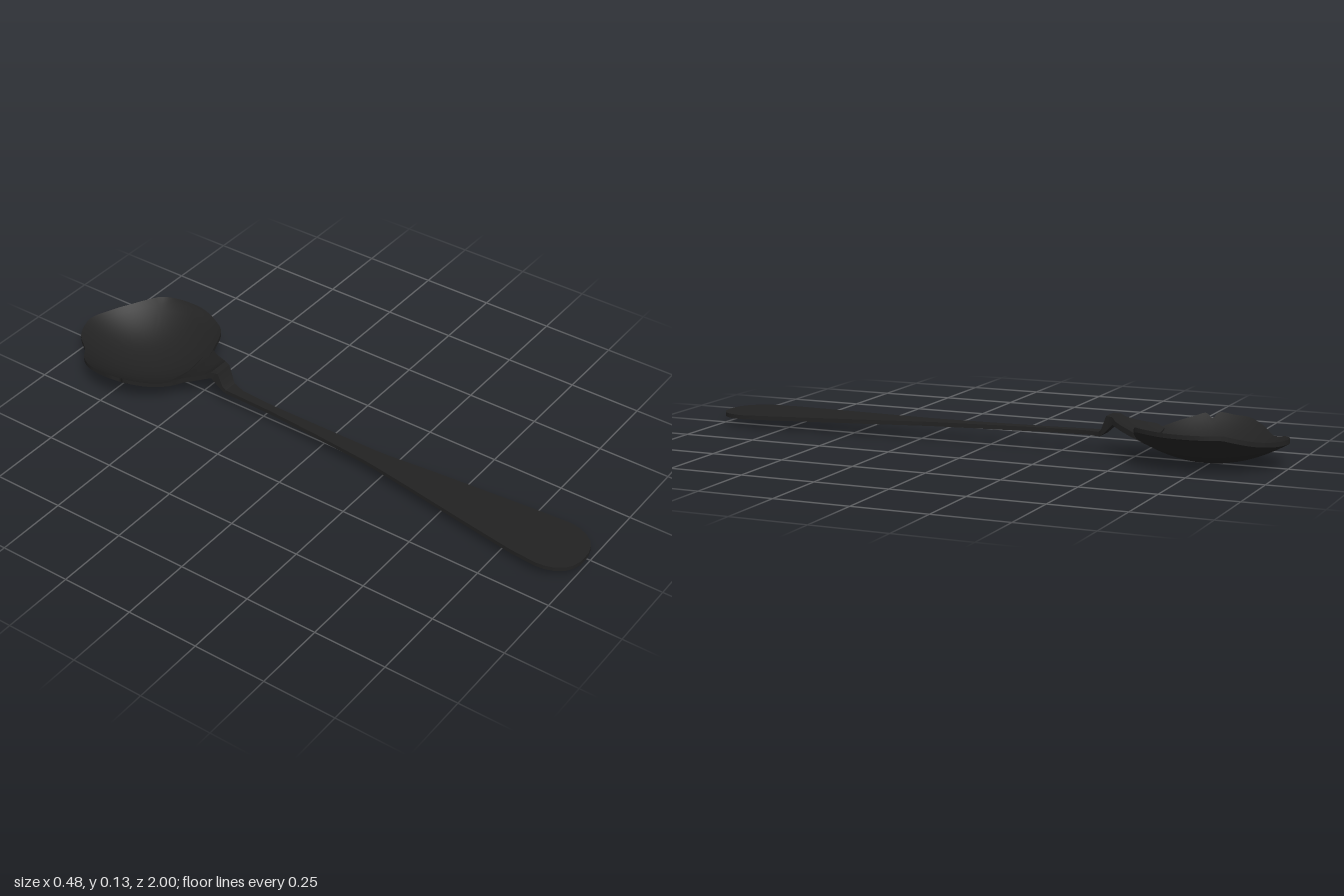
import * as THREE from 'three';
import { toCreasedNormals } from 'three/addons/utils/BufferGeometryUtils.js';

const metal = new THREE.MeshStandardMaterial({ color: 0x222222 });
metal.name = 'darkMetal';

// Skin a row of closed cross-section loops, dropping collapsed triangles
function loft(loops, crease) {
  const pos = [];
  const tri = (a, b, c) => {
    if (new THREE.Triangle(a, b, c).getArea() > 1e-9) {
      for (const p of [a, b, c]) pos.push(p.x, p.y, p.z);
    }
  };
  for (let k = 0; k + 1 < loops.length; k++) {
    const A = loops[k], B = loops[k + 1], n = A.length;
    for (let i = 0; i < n; i++) {
      const j = (i + 1) % n;
      tri(A[i], A[j], B[i]);
      tri(A[j], B[j], B[i]);
    }
  }
  const geo = new THREE.BufferGeometry();
  geo.setAttribute('position', new THREE.Float32BufferAttribute(pos, 3));
  return toCreasedNormals(geo, crease);
}

const CX = -0.015, CZ = -0.745;

// Worn rim of the bowl seen from above, as [x, z]
const rim = [
  [0, -1], [0.085, -0.97], [0.14, -0.93], [0.18, -0.89], [0.215, -0.84], [0.233, -0.79],
  [0.238, -0.71], [0.228, -0.66], [0.206, -0.611], [0.185, -0.575], [0.164, -0.553],
  [0.11, -0.542], [0.05, -0.53], [0, -0.525], [-0.06, -0.53], [-0.122, -0.553],
  [-0.175, -0.59], [-0.205, -0.625], [-0.228, -0.66], [-0.217, -0.685], [-0.238, -0.7],
  [-0.236, -0.76], [-0.228, -0.807], [-0.19, -0.865], [-0.127, -0.918], [-0.085, -0.97],
];

function bowlGeometry() {
  const curve = new THREE.CatmullRomCurve3(
    rim.map(([x, z]) => new THREE.Vector3(x, 0, z)), true, 'centripetal');
  const edge = curve.getPoints(120).slice(0, -1);
  const ring = (t, top) => edge.map((p) => {
    const dx = (p.x - CX) * t, dz = (p.z - CZ) * t;
    const y = 2 * dx * dx + 1.2 * dz * dz;
    return new THREE.Vector3(CX + dx, top ? Math.min(y + 0.015, 0.128) : Math.min(y, 0.114), CZ + dz);
  });
  const steps = 12, loops = [];
  for (let i = 0; i <= steps; i++) loops.push(ring(i / steps, true));
  for (let i = steps; i >= 0; i--) loops.push(ring(i / steps, false));
  return loft(loops, 0.7);
}

// Flat bar through stations [z, left x, right x, top y, thickness, edge curl]
function barGeometry(stations) {
  const n = 8;
  const loops = stations.map(([z, x0, x1, y, h, curl = 0]) => {
    const mid = (x0 + x1) / 2, top = [], bottom = [];
    for (let i = 0; i <= n; i++) {
      const x = x0 + (x1 - x0) * i / n;
      const lift = curl * (x - mid) ** 2;
      top.push(new THREE.Vector3(x, y + lift, z));
      bottom.unshift(new THREE.Vector3(x, y - h + lift, z));
    }
    return [...top, ...bottom];
  });
  // Close both ends on their centres
  const cap = (loop) => {
    const c = new THREE.Vector3();
    loop.forEach((p) => c.addScaledVector(p, 1 / loop.length));
    return loop.map(() => c);
  };
  return loft([cap(loops[0]), ...loops, cap(loops[loops.length - 1])], 0.6);
}

// Handle outline from the rounded tip to the narrow end: [z, left x, right x]
const handle = [
  [1, -0.065, -0.015], [0.99, -0.095, 0.015], [0.975, -0.117, 0.037], [0.95, -0.135, 0.056],
  [0.92, -0.146, 0.068], [0.89, -0.15, 0.073], [0.8, -0.145, 0.066], [0.6, -0.117, 0.046],
  [0.4, -0.087, 0.025], [0.25, -0.066, 0.007], [0.2, -0.06, 0.003], [0, -0.046, -0.002],
  [-0.2, -0.036, -0.007], [-0.33, -0.035, -0.003], [-0.385, -0.035, 0.015],
].map(([z, a, b]) => [z, a, b, 0.041 + (1 - z) * 0.0225, 0.014]);

// Raised kink that joins the handle to the bowl
const neck = [
  [-0.38, -0.035, 0.013, 0.072, 0.014], [-0.392, -0.036, 0.022, 0.082, 0.02],
  [-0.41, -0.038, 0.026, 0.128, 0.05], [-0.435, -0.043, 0.036, 0.127, 0.024],
  [-0.45, -0.05, 0.05, 0.114, 0.018, 1], [-0.474, -0.063, 0.063, 0.1, 0.018, 2],
  [-0.51, -0.086, 0.083, 0.084, 0.018, 2], [-0.535, -0.105, 0.1, 0.071, 0.016, 2],
  [-0.56, -0.11, 0.1, 0.056, 0.012, 2],
];

export function createModel() {
  const spoon = new THREE.Group();
  spoon.name = 'spoon';
  const parts = { bowl: bowlGeometry(), neck: barGeometry(neck), handle: barGeometry(handle) };
  for (const [name, geo] of Object.entries(parts)) {
    const mesh = new THREE.Mesh(geo, metal);
    mesh.name = name;
    spoon.add(mesh);
  }
  return spoon;
}
